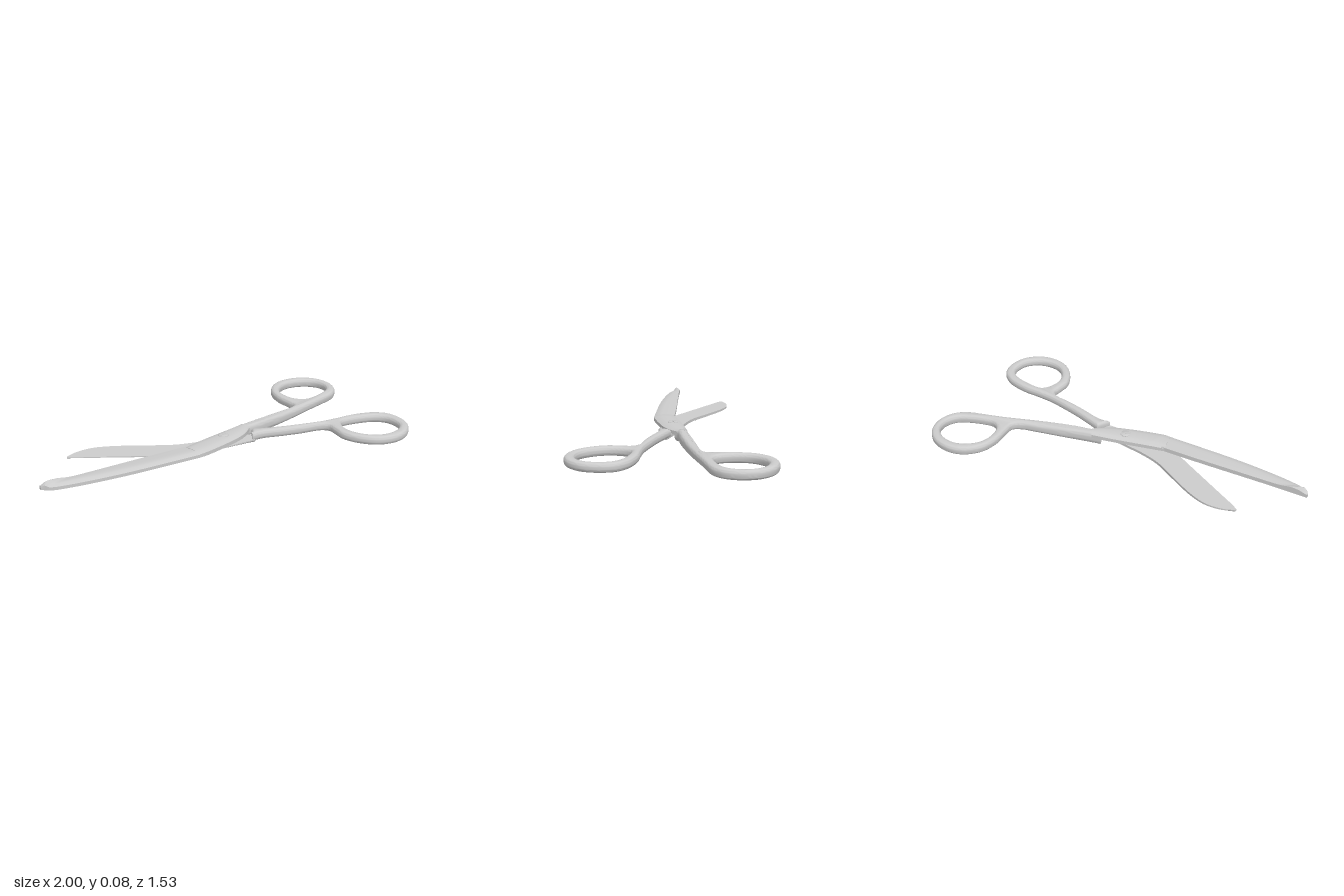
import * as THREE from 'three';
import { mergeVertices, toCreasedNormals } from 'three/addons/utils/BufferGeometryUtils.js';

const metal = new THREE.MeshStandardMaterial({ color: 0xcccccc, roughness: 0.5 });

// Plan outlines are [x, z] pairs; shapes use y = -z so they lie flat once rotated.
const toVec = (pts) => pts.map(([x, z]) => new THREE.Vector2(x, -z));

const curve = (pts, closed) => new THREE.CatmullRomCurve3(
  pts.map(([x, z]) => new THREE.Vector3(x, 0, z)), closed, 'centripetal');

const smooth = (pts, closed, n) => {
  const out = curve(pts, closed).getPoints(n).map((p) => [p.x, p.z]);
  return closed ? out.slice(0, -1) : out;
};

// Flat rounded plate between heights y0 and y1; outline runs clockwise, hole is turned against it
function plate(name, outline, y0, y1, bevel, hole = [], rule = (y) => y) {
  const shape = new THREE.Shape(toVec(outline));
  if (hole.length) shape.holes.push(new THREE.Path(toVec(hole).reverse()));
  let g = new THREE.ExtrudeGeometry(shape, {
    depth: y1 - y0 - 2 * bevel, bevelEnabled: true, bevelThickness: bevel,
    bevelSize: bevel, bevelOffset: -bevel, bevelSegments: 5,
  });
  g.translate(0, 0, y0 + bevel).rotateX(-Math.PI / 2);
  const p = g.attributes.position;
  for (let i = 0; i < p.count; i++) p.setY(i, rule(p.getY(i), p.getZ(i)));
  g.deleteAttribute('uv');
  g.deleteAttribute('normal');
  g = toCreasedNormals(mergeVertices(g, 1e-5), 0.8);
  const m = new THREE.Mesh(g, metal);
  m.name = name;
  return m;
}

// Loft between two edge lines: flat inner face at yFlat, outer face shaped by dome and thickness(t)
function loft(name, edgePts, backPts, yFlat, dome, thickness) {
  const edge = curve(edgePts, false), back = curve(backPts, false);
  const N = 64, K = dome.length + 2, pos = [], idx = [];
  for (let i = 0; i <= N; i++) {
    const t = i / N, a = edge.getPoint(t), b = back.getPoint(t), h = thickness(t);
    const add = (v, y) => pos.push(a.x + (b.x - a.x) * v, yFlat + y, a.z + (b.z - a.z) * v);
    dome.forEach((d, k) => add(k / (dome.length - 1), h * d));
    add(1, 0);
    add(0, 0);
  }
  for (let i = 0; i < N; i++) for (let k = 0; k < K; k++) {
    const a = i * K + k, b = i * K + (k + 1) % K;
    idx.push(a, b, a + K, b, b + K, a + K);
  }
  for (let k = 1; k < K - 1; k++) idx.push(0, k + 1, k, N * K, N * K + k, N * K + k + 1);
  const g = new THREE.BufferGeometry();
  g.setAttribute('position', new THREE.Float32BufferAttribute(pos, 3));
  g.setIndex(idx);
  const m = new THREE.Mesh(toCreasedNormals(g, 0.6), metal);
  m.name = name;
  return m;
}

function upperHalf() {
  const half = new THREE.Group();
  half.name = 'upperHalf';

  // Blade with a raised blunt tip
  half.add(loft('upperBlade',
    [[-1, 0.738], [-0.82, 0.635], [-0.64, 0.528], [-0.45, 0.415], [-0.25, 0.3]],
    [[-0.992, 0.752], [-0.94, 0.76], [-0.86, 0.738], [-0.6, 0.625], [-0.18, 0.4]],
    0.041, [0.8, 0.86, 0.92, 0.97, 1, 0.94, 0.6],
    (t) => 0.029 * Math.min(1, 0.7 + 6 * t) * (1 + 0.5 * Math.exp(-(((t - 0.1) / 0.07) ** 2)))));

  half.add(loft('upperHub',
    [[-0.27, 0.312], [-0.18, 0.227], [-0.09, 0.143], [0.0, 0.062], [0.05, 0.02]],
    [[-0.19, 0.404], [-0.155, 0.382], [0.03, 0.195], [0.075, 0.125], [0.1, 0.055]],
    0.041, [0.6, 0.9, 1, 1, 1, 0.9, 0.6], (t) => 0.03 + 0.004 * Math.min(1, 5 * t)));

  // Shank and finger loop, sloping down away from the hub
  half.add(plate('upperHandle', smooth([
    [0.005, 0.06], [0.05, 0.02], [0.17, -0.09], [0.3, -0.207], [0.365, -0.268], [0.388, -0.312], [0.36, -0.365],
    [0.3, -0.46], [0.274, -0.56], [0.3, -0.665], [0.37, -0.735], [0.48, -0.766], [0.58, -0.737],
    [0.645, -0.667], [0.667, -0.58], [0.652, -0.51], [0.625, -0.468], [0.59, -0.43], [0.5, -0.338], [0.4, -0.229],
    [0.3, -0.126], [0.18, -0.013], [0.095, 0.06], [0.085, 0.085],
  ], false, 150), 0, 0.054, 0.02, smooth([
    [0.435, -0.4], [0.395, -0.418], [0.345, -0.48], [0.325, -0.55], [0.345, -0.63], [0.4, -0.688], [0.49, -0.712],
    [0.565, -0.69], [0.608, -0.635], [0.613, -0.565], [0.577, -0.502], [0.52, -0.438], [0.475, -0.404],
  ], true, 80), (y, z) => y * (1 + 0.33 * THREE.MathUtils.smoothstep(z, -0.35, 0.08))));
  return half;
}

function lowerHalf() {
  const half = new THREE.Group();
  half.name = 'lowerHalf';

  // Blade running on into its hub in one sweep
  half.add(loft('lowerBladeAndHub',
    [[-0.896, 0.358], [-0.85, 0.362], [-0.77, 0.362], [-0.66, 0.362], [-0.5, 0.362], [-0.34, 0.361],
      [-0.22, 0.348], [-0.12, 0.305], [0, 0.24], [0.125, 0.172]],
    [[-0.896, 0.346], [-0.85, 0.292], [-0.77, 0.243], [-0.66, 0.223], [-0.5, 0.222], [-0.33, 0.222],
      [-0.21, 0.195], [-0.118, 0.163], [0, 0.122], [0.125, 0.093]],
    0.039, [0.25, 0.6, 0.85, 0.97, 1, 0.9, 0.55], (t) => -0.028 * Math.min(1, 0.4 + 1.2 * t)));

  // Shank and finger loop, stepped up from the hub
  half.add(plate('lowerHandle', smooth([
    [0.108, 0.092], [0.2, 0.076], [0.3, 0.057], [0.4, 0.031], [0.51, -0.002],
    [0.6, -0.042], [0.68, -0.083], [0.76, -0.11], [0.83, -0.12], [0.91, -0.1], [0.97, -0.035], [0.998, 0.06],
    [0.972, 0.16], [0.9, 0.232], [0.795, 0.26], [0.69, 0.232], [0.61, 0.172], [0.573, 0.1], [0.55, 0.055],
    [0.51, 0.043], [0.4, 0.08], [0.28, 0.113], [0.18, 0.136], [0.145, 0.152], [0.108, 0.178],
  ], false, 150), 0.024, 0.075, 0.02, smooth([
    [0.63, 0.005], [0.66, -0.018], [0.74, -0.048], [0.83, -0.064], [0.89, -0.045], [0.93, 0.005], [0.946, 0.065],
    [0.922, 0.135], [0.865, 0.186], [0.79, 0.206], [0.71, 0.183], [0.65, 0.13], [0.624, 0.06],
  ], true, 80)));
  return half;
}

// Pivot screw: a through pin and a head split by a slot
function pivotScrew() {
  const screw = new THREE.Group();
  screw.name = 'pivotScrew';
  const pin = new THREE.Mesh(new THREE.CylinderGeometry(0.026, 0.026, 0.06, 32), metal);
  pin.name = 'pin';
  pin.position.y = 0.04;
  screw.add(pin);
  const arc = [];
  for (let i = 0; i <= 20; i++) {
    const a = 0.13 + (Math.PI - 0.26) * i / 20;
    arc.push([0.028 * Math.cos(a), 0.028 * Math.sin(a)]);
  }
  for (const turn of [0, Math.PI]) {
    const headHalf = plate('screwHeadHalf', arc, 0.068, 0.079, 0.0015);
    headHalf.rotation.y = turn + 0.8;
    screw.add(headHalf);
  }
  screw.position.set(-0.053, 0, 0.185);
  return screw;
}

export function createModel() {
  const model = new THREE.Group();
  model.name = 'scissors';
  model.add(upperHalf(), lowerHalf(), pivotScrew());
  return model;
}
